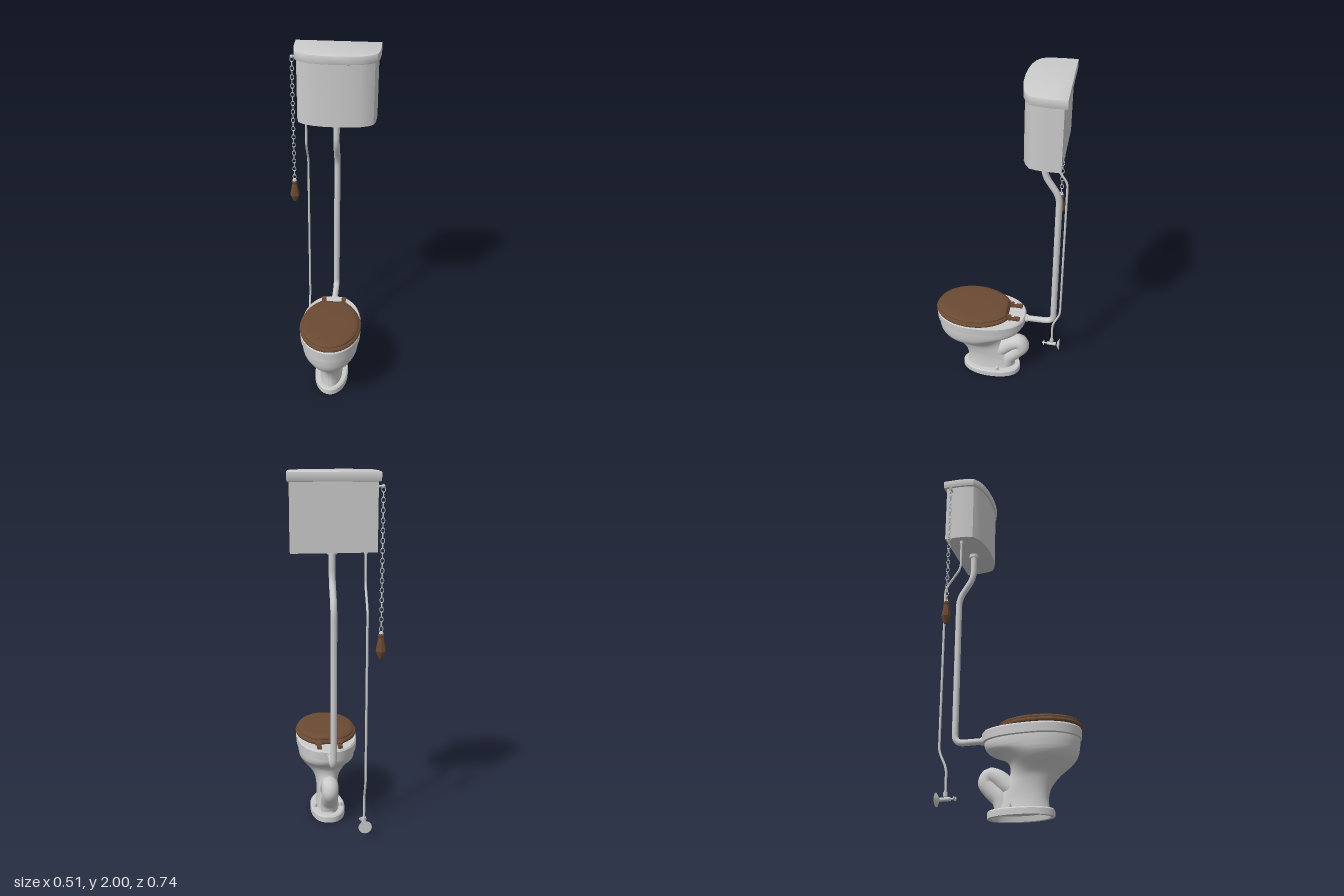
import * as THREE from 'three';
import { toCreasedNormals } from 'three/addons/utils/BufferGeometryUtils.js';

const CX = 0.0215; // centre line of tank and bowl
const grey = new THREE.MeshStandardMaterial({ color: 0xcccccc });
const wood = new THREE.MeshStandardMaterial({ color: 0x6b4a33 });
const V = (x, y, z) => new THREE.Vector3(x, y, z);

// Horizontal egg-shaped section: elliptical front, squarer back, optional flat cut behind
function ring(y, zf, zb, hw, zc = 0.14, n = 2, cut = -9) {
  const pts = [];
  for (let j = 0; j < 56; j++) {
    const t = (j / 56) * Math.PI * 2, s = Math.sin(t), c = Math.cos(t);
    const e = c < 0 ? 2 / n : 1;
    const x = hw * Math.sign(s) * Math.abs(s) ** e;
    const z = c < 0 ? zc - (zc - zb) * Math.abs(c) ** e : zc + (zf - zc) * c;
    pts.push(V(x, y, Math.max(z, cut)));
  }
  return pts;
}

// Skin through rings listed from bottom to top, with both ends capped
function loft(rings, steps = 0, crease = 0.6) {
  const N = rings[0].length;
  if (steps) {
    const curves = rings[0].map((_, j) => new THREE.CatmullRomCurve3(rings.map(r => r[j]), false, 'centripetal'));
    rings = Array.from({ length: steps + 1 }, (_, i) => curves.map(c => c.getPoint(i / steps)));
  }
  const pos = [], idx = [];
  rings.forEach(r => r.forEach(p => pos.push(p.x, p.y, p.z)));
  for (let i = 0; i < rings.length - 1; i++) for (let j = 0; j < N; j++) {
    const a = i * N + j, b = i * N + (j + 1) % N;
    idx.push(a, b, b + N, a, b + N, a + N);
  }
  [rings[0], rings[rings.length - 1]].forEach((r, end) => {
    const mid = r.reduce((m, p) => m.add(p), V(0, 0, 0)).divideScalar(N);
    const k = pos.length / 3, o = end ? (rings.length - 1) * N : 0;
    pos.push(mid.x, mid.y, mid.z);
    for (let j = 0; j < N; j++) {
      const a = o + j, b = o + (j + 1) % N;
      end ? idx.push(k, a, b) : idx.push(k, b, a);
    }
  });
  const g = new THREE.BufferGeometry();
  g.setAttribute('position', new THREE.Float32BufferAttribute(pos, 3));
  g.setIndex(idx);
  return toCreasedNormals(g, crease);
}

// Pipe along straight runs with rounded bends
function pipe(pts, r, bend, segments = 180) {
  const path = new THREE.CurvePath();
  let from = pts[0];
  for (let i = 1; i < pts.length - 1; i++) {
    const p = pts[i];
    const a = p.clone().add(pts[i - 1].clone().sub(p).setLength(bend));
    const b = p.clone().add(pts[i + 1].clone().sub(p).setLength(bend));
    path.add(new THREE.LineCurve3(from, a));
    path.add(new THREE.QuadraticBezierCurve3(a, p, b));
    from = b;
  }
  path.add(new THREE.LineCurve3(from, pts[pts.length - 1]));
  return new THREE.TubeGeometry(path, segments, r, 14);
}

// D-shaped tank plan, flat at the back and bowed at the front
function tankBlock(height, bevel) {
  const half = [[0.233, 0.372], [0.233, 0.29], [0.227, 0.23], [0.216, 0.19], [0.183, 0.165], [0.14, 0.148], [0.07, 0.137]];
  const pts = [...half, [0, 0.134], ...half.map(([x, z]) => [-x, z]).reverse()];
  const shape = new THREE.Shape(pts.map(([x, z]) => new THREE.Vector2(x, z - 0.253)));
  const g = new THREE.ExtrudeGeometry(shape, {
    depth: height - 2 * bevel, bevelEnabled: bevel > 0, bevelThickness: bevel, bevelSize: bevel, bevelOffset: -bevel, bevelSegments: 2,
  });
  return toCreasedNormals(g.translate(0, 0, bevel).rotateX(-Math.PI / 2), 0.65);
}

export function createModel() {
  const root = new THREE.Group();
  const add = (name, geo, mat, x = 0, y = 0, z = 0, parent = root) => {
    const m = new THREE.Mesh(geo, mat);
    m.name = name;
    m.position.set(x, y, z);
    parent.add(m);
    return m;
  };
  const cyl = (r1, r2, h, n = 20) => new THREE.CylinderGeometry(r1, r2, h, n);
  const rod = (r1, r2, h, n) => cyl(r1, r2, h, n).rotateX(Math.PI / 2);

  // Cistern
  add('tankBody', tankBlock(0.36, 0), grey, CX, 1.6, -0.249).scale.set(0.22 / 0.233, 1, 0.89);
  add('tankLid', tankBlock(0.048, 0.004), grey, CX, 1.952, -0.253);

  // Bowl and pedestal
  add('bowl', loft([
    ring(0.03, 0.19, -0.11, 0.068, 0.06, 2.2),
    ring(0.09, 0.184, -0.09, 0.06, 0.07, 2.2),
    ring(0.15, 0.2, -0.055, 0.061, 0.08, 2.2),
    ring(0.21, 0.25, -0.025, 0.073, 0.1),
    ring(0.25, 0.298, -0.015, 0.1, 0.12),
    ring(0.285, 0.33, -0.025, 0.135, 0.14),
    ring(0.32, 0.347, -0.065, 0.156, 0.14, 2.2),
    ring(0.35, 0.353, -0.135, 0.162, 0.14, 2.4),
    ring(0.375, 0.356, -0.153, 0.164, 0.14, 2.4),
    ring(0.405, 0.356, -0.156, 0.164, 0.14, 2.4),
  ], 40), grey, CX);
  add('rim', loft([
    ring(0.398, 0.356, -0.158, 0.164, 0.14, 2.4),
    ring(0.402, 0.365, -0.167, 0.174, 0.14, 2.4),
    ring(0.448, 0.368, -0.17, 0.176, 0.14, 2.4),
    ring(0.457, 0.361, -0.163, 0.169, 0.14, 2.4),
  ]), grey, CX);

  // Foot, hollow underneath
  add('foot', loft([
    ring(0.028, 0.185, -0.11, 0.074, 0.04, 2.3),
    ring(0, 0.193, -0.118, 0.08, 0.04, 2.3),
    ring(0, 0.215, -0.14, 0.1, 0.04, 2.3),
    ring(0.032, 0.215, -0.14, 0.1, 0.04, 2.3),
    ring(0.04, 0.208, -0.133, 0.093, 0.04, 2.3),
  ]), grey, CX);
  for (const s of [-1, 1]) add('footBolt', cyl(0.01, 0.012, 0.022, 12), grey, CX + s * 0.075, 0.049, -0.005);

  // Looping outlet behind the pedestal
  const trap = new THREE.CatmullRomCurve3([
    V(0, 0.11, 0.06), V(0, 0.16, -0.02), V(0, 0.215, -0.085), V(0, 0.228, -0.13),
    V(0, 0.195, -0.147), V(0, 0.15, -0.115), V(0, 0.1, -0.07), V(0, 0.03, -0.05),
  ]);
  add('outletTrap', new THREE.TubeGeometry(trap, 48, 0.048, 20), grey, CX);

  // Seat and its cover
  const seatRing = (y, d) => ring(y, 0.37 - d, -0.095 + d, 0.178 - d, 0.14, 2, -0.07 + d * 0.6);
  add('seat', loft([[0.457, 0.008], [0.461, 0.002], [0.468, 0], [0.476, 0.003], [0.482, 0.012]].map(a => seatRing(...a))), wood, CX);
  add('seatCover', loft([[0.479, 0.018], [0.484, 0.012], [0.491, 0.012], [0.498, 0.019], [0.502, 0.032], [0.504, 0.07]].map(a => seatRing(...a))), wood, CX);

  // Hinges
  for (const s of [-1, 1]) {
    const hinge = new THREE.Group();
    hinge.name = 'hinge';
    hinge.position.set(CX + s * 0.059, 0, 0);
    root.add(hinge);
    add('hingeStrap', new THREE.BoxGeometry(0.024, 0.008, 0.085), wood, 0, 0.461, -0.098, hinge);
    add('hingeBlock', new THREE.BoxGeometry(0.025, 0.016, 0.035), wood, 0, 0.464, -0.122, hinge);
    add('hingeBarrel', cyl(0.009, 0.009, 0.037, 12).rotateZ(Math.PI / 2), wood, 0, 0.468, -0.08, hinge);
    add('hingeArm', new THREE.BoxGeometry(0.022, 0.012, 0.04), wood, 0, 0.478, -0.065, hinge).rotation.x = -0.5;
  }

  // Flush pipe from tank to bowl
  add('flushPipe', pipe([
    V(CX, 1.61, -0.247), V(CX, 1.445, -0.247), V(CX, 1.315, -0.333), V(CX, 0.428, -0.333), V(CX, 0.428, -0.13),
  ], 0.018, 0.05, 220), grey);
  add('flushPipeNut', cyl(0.027, 0.027, 0.022), grey, CX, 1.59, -0.247);
  add('flushPipeSleeve', rod(0.023, 0.023, 0.02), grey, CX, 0.428, -0.172);

  // Water supply pipe and stop valve
  const sx = -0.15;
  add('supplyPipe', pipe([
    V(sx, 1.61, -0.27), V(sx, 1.42, -0.27), V(sx, 1.295, -0.358), V(sx, 0.335, -0.358), V(sx, 0.24, -0.315), V(sx, 0.08, -0.315),
  ], 0.0065, 0.03, 220), grey);
  add('supplyPipeNut', cyl(0.011, 0.011, 0.02, 6), grey, sx, 1.592, -0.27);
  const valve = new THREE.Group();
  valve.name = 'stopValve';
  valve.position.set(sx, 0.08, -0.315);
  root.add(valve);
  add('valveBody', rod(0.011, 0.011, 0.055, 14), grey, 0, 0, 0, valve);
  add('valveNut', cyl(0.012, 0.012, 0.022, 6), grey, 0, 0.025, 0, valve);
  add('wallFlange', rod(0.014, 0.037, 0.014, 24), grey, 0, 0, -0.042, valve);
  add('valveStem', rod(0.005, 0.005, 0.05, 10), grey, 0, 0, 0.035, valve);
  add('valveHandle', rod(0.016, 0.016, 0.006, 16), grey, 0, 0, 0.05, valve).scale.set(1.3, 0.7, 1);

  // Pull lever, chain and wooden handle
  const px = -0.228, pz = -0.32;
  add('leverArm', cyl(0.006, 0.006, 0.04, 10).rotateZ(Math.PI / 2), grey, -0.213, 1.925, pz);
  add('leverEnd', new THREE.SphereGeometry(0.01, 12, 8), grey, px, 1.925, pz);
  const chain = new THREE.Group();
  chain.name = 'pullChain';
  root.add(chain);
  const linkGeo = new THREE.TorusGeometry(0.0095, 0.0021, 6, 14).scale(1, 1.5, 1);
  for (let i = 0; i < 29; i++) add('chainLink', linkGeo, grey, px, 1.908 - i * 0.0255, pz, chain).rotation.y = (i % 2) * Math.PI / 2;
  const profile = [[0, 1.037], [0.012, 1.037], [0.028, 1.075], [0.026, 1.09], [0.014, 1.15], [0.018, 1.158], [0.014, 1.17], [0, 1.17]];
  const handle = new THREE.LatheGeometry(profile.map(([x, y]) => new THREE.Vector2(x, y)), 8);
  add('pullHandle', toCreasedNormals(handle, 0.3), wood, px, 0, pz);
  add('pullHandleCap', cyl(0.008, 0.014, 0.014, 12), grey, px, 1.175, pz);

  return root;
}
